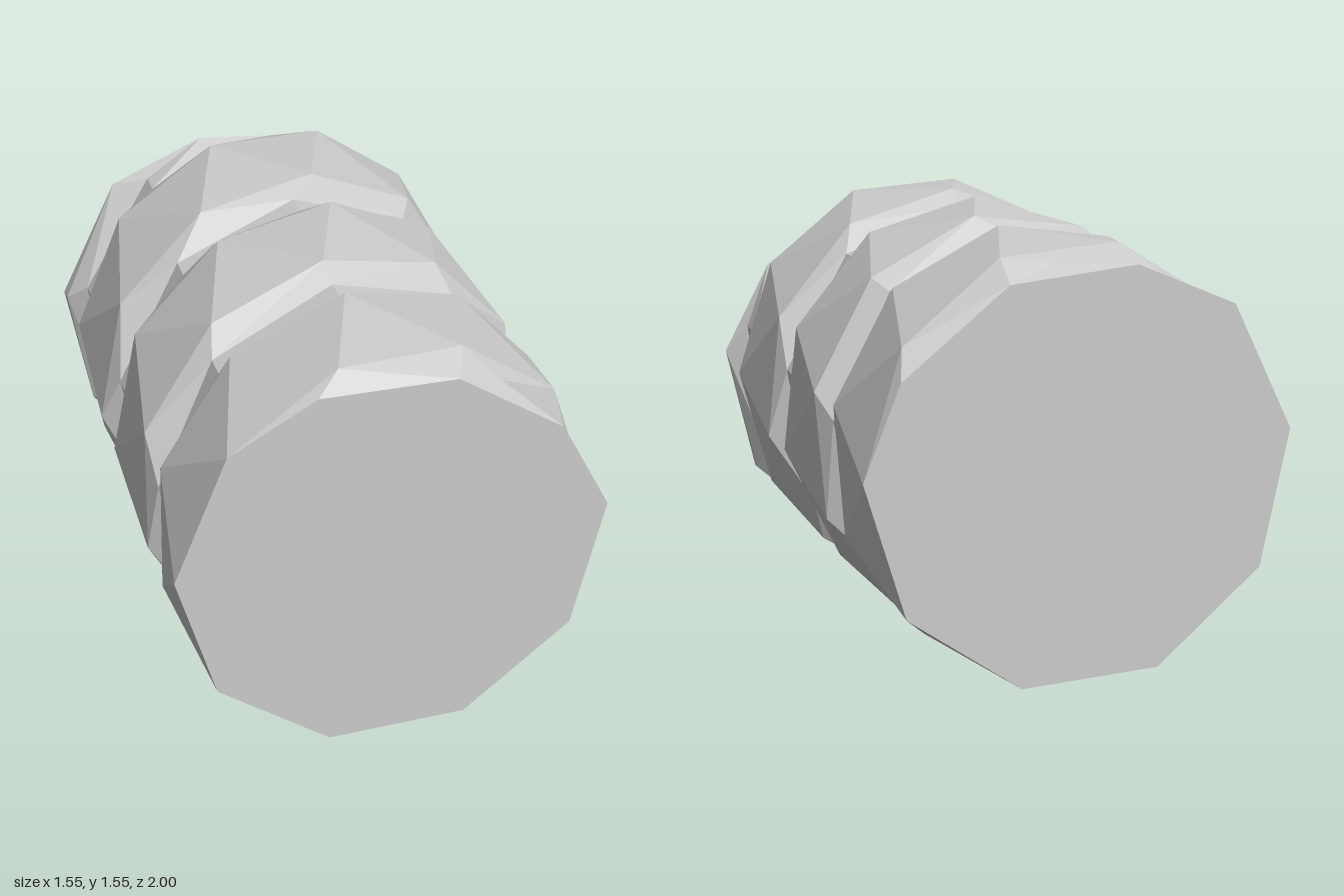
import * as THREE from 'three';

const R = 0.775;        // outer radius, also the height of the axis
const FLOOR = 0.715;    // radius of the groove floor
const PITCH = 0.668;    // groove advance per turn
const MID = 0.554;      // turn at which the groove crosses z = 0

// t counts turns clockwise from the top, seen from the front
const point = (t, r, z) => ({ t, r, z });
const grooveZ = (t) => (MID - t) * PITCH;
const shift = (row, n) => row.map((p) => point(p.t + n, p.r, p.z));
// half-turn symmetry: the back end repeats the front end
const mirror = (row) => row.map((p) => point(2 * MID - p.t, p.r, -p.z)).reverse();

function helixRow(start, step, first, last, r, offset) {
  const row = [];
  for (let k = first; k <= last; k++) {
    const t = start + k * step;
    row.push(point(t, r, grooveZ(t) + offset));
  }
  return row;
}

function vec(p) {
  const a = Math.PI / 2 - p.t * Math.PI * 2;
  return new THREE.Vector3(p.r * Math.cos(a), R + p.r * Math.sin(a), p.z);
}

// triangles between two rows, a lying nearer the front than b
function zip(a, b) {
  const out = [];
  let i = 0, j = 0;
  while (i < a.length - 1 || j < b.length - 1) {
    if (j === b.length - 1 || (i < a.length - 1 && a[i + 1].t <= b[j + 1].t)) {
      out.push([a[i], a[i + 1], b[j]]);
      i++;
    } else {
      out.push([a[i], b[j + 1], b[j]]);
      j++;
    }
  }
  return out;
}

function makeMesh(name, triangles) {
  const coords = [];
  for (const tri of triangles) {
    const [a, b, c] = tri.map(vec);
    if (new THREE.Triangle(a, b, c).getArea() < 1e-6) continue;
    for (const v of [a, b, c]) coords.push(v.x, v.y, v.z);
  }
  const geometry = new THREE.BufferGeometry();
  geometry.setAttribute('position', new THREE.Float32BufferAttribute(coords, 3));
  geometry.computeVertexNormals();
  const mesh = new THREE.Mesh(geometry, new THREE.MeshStandardMaterial({ color: 0xcccccc, flatShading: true }));
  mesh.name = name;
  return mesh;
}

export function createModel() {
  // end outline: full-radius arc, then three points where the groove runs out
  const arc = [];
  for (let k = 0; k <= 6; k++) arc.push(point(-0.767 + (k * 0.631) / 6, R, 1));
  const entryLow = point(-1.061, 0.735, 1);
  const entryMid = point(-0.953, 0.71, 1);
  const entryHigh = point(-0.85, 0.727, 1);
  const tip = point(-0.911, FLOOR, 0.93);

  // ridge and floor edge behind the groove; those before it follow by symmetry
  const ridge = [
    ...shift([arc[6]], -1),
    ...helixRow(0.2722, 0.09372, -14, 16, R, -0.123),
    ...mirror([entryHigh, arc[0]]),
  ];
  const floor = [
    entryLow, entryMid, tip,
    ...helixRow(0.2174, 0.1122, -9, 15, FLOOR, -0.048),
    ...mirror([entryMid, entryHigh]),
  ];
  const ridgeFront = mirror(ridge);
  const floorFront = mirror(floor);

  // raised band from one turn of the groove to the next
  const bandFront = [...arc, ...shift(ridge.slice(1, -1), 1)];
  const bandBack = shift(mirror(bandFront), 1);

  // flat ends
  const outline = [...arc, ...shift([entryLow, entryMid, entryHigh], 1)];
  const fan = (loop, z) => loop.map((p, i) => [point(0, 0, z), p, loop[(i + 1) % loop.length]]);
  const frontFan = fan(outline, 1).map(([a, b, c]) => [a, c, b]);
  const backFan = fan(mirror(outline), -1);

  const model = new THREE.Group();
  model.name = 'groovedCylinder';
  model.add(
    makeMesh('helicalBand', zip(bandFront, bandBack)),
    makeMesh('grooveFrontWall', zip(ridgeFront, floorFront)),
    makeMesh('grooveFloor', zip(floorFront, floor)),
    makeMesh('grooveBackWall', zip(floor, ridge)),
    makeMesh('frontCap', frontFan),
    makeMesh('backCap', backFan),
  );
  return model;
}
